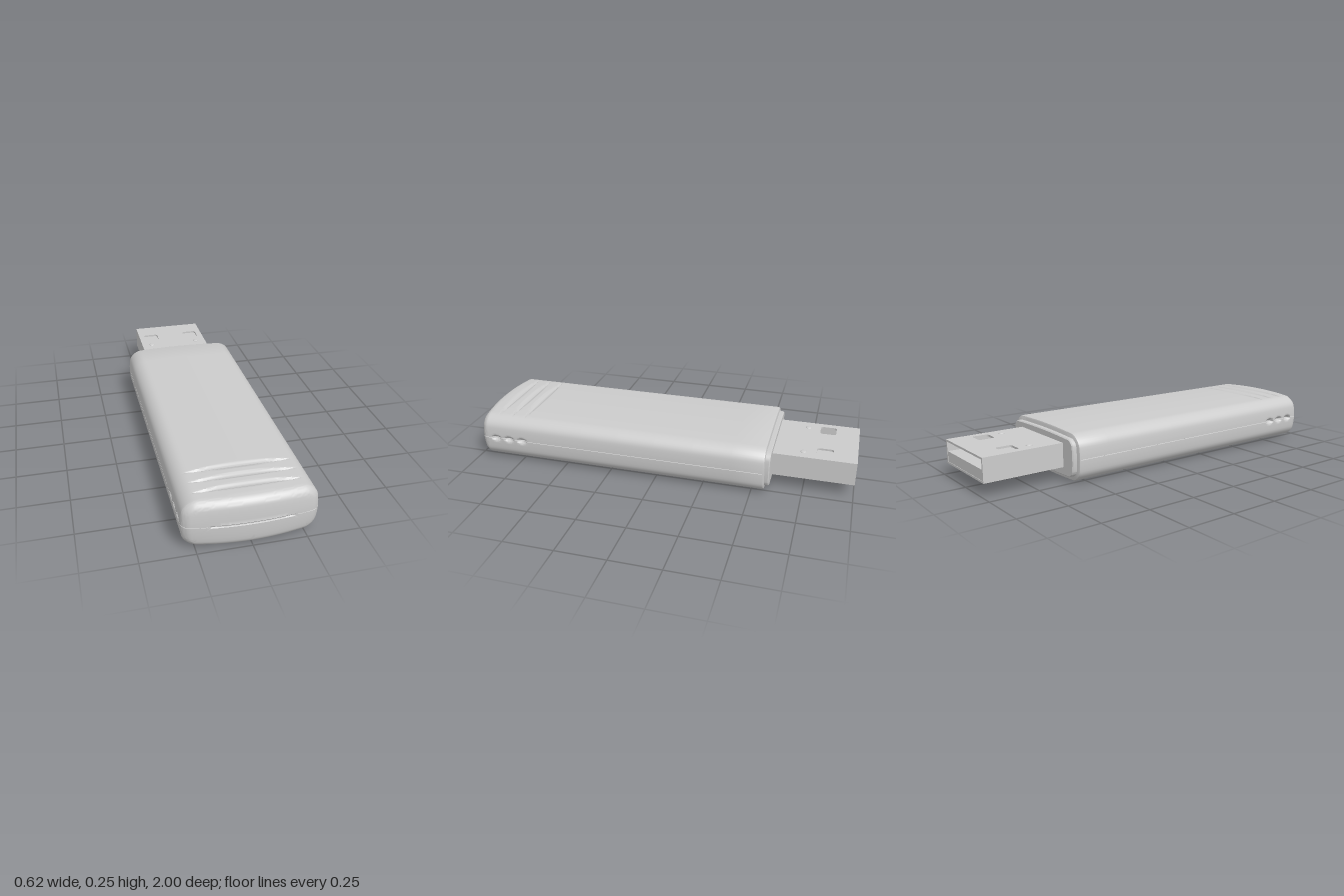
import * as THREE from 'three';
import { toCreasedNormals } from 'three/addons/utils/BufferGeometryUtils.js';

const HW = 0.31, HH = 0.124, CY = 0.124, R = 0.06;
const material = new THREE.MeshStandardMaterial({ color: 0xcccccc, side: THREE.DoubleSide });
const RIBS = [0.735, 0.81, 0.885];

function add(parent, name, geometry, x = 0, y = 0, z = 0) {
  const mesh = new THREE.Mesh(geometry, material);
  mesh.name = name;
  mesh.position.set(x, y, z);
  parent.add(mesh);
  return mesh;
}

// Rounded-rectangle loop, shrunk by inset e; every loop has the same point count
function section(e) {
  const w = HW - e, h = Math.max(HH - e, 0), r = Math.min(Math.max(R - e, 0.004), h), q = [];
  for (const s of [0, 0.025, 0.06, 0.12, 0.19, 0.26, 0.35, 0.5, 0.75, 1]) q.push([w, (h - r) * s]);
  for (let i = 1; i <= 8; i++) {
    const a = i / 8 * Math.PI / 2;
    q.push([w - r + r * Math.cos(a), h - r + r * Math.sin(a)]);
  }
  for (let i = 1; i <= 22; i++) q.push([(w - r) * (1 - i / 22), h]);
  const back = q.slice(0, -1).reverse();
  return [
    ...q,
    ...back.map(([x, y]) => [-x, y]),
    ...q.slice(1).map(([x, y]) => [-x, -y]),
    ...back.slice(0, -1).map(([x, y]) => [x, -y]),
  ];
}

// Smooth hollow, 1 in the middle and 0 at the rim
const hollow = d => (d < 1 ? (1 - d * d) ** 1.5 : 0);

// Pillow bulge, bowed nose, grip grooves, side dimples and parting seam
function shape(x, y, z, e, detailed) {
  const u = x / HW, v = y / HH;
  let px = x * (1 - 0.05 * v * v), py = y * (1 - 0.09 * u * u), pz = z;
  if (detailed) {
    pz -= THREE.MathUtils.smoothstep(z, 0.9, 1) * (0.03 * u * u + 0.012 * v * v);
    if (e < 0.02) {
      for (const rib of RIBS) {
        const halfWidth = 0.022 * (1 - (x / 0.265) ** 2);
        if (halfWidth > 0 && Math.abs(y) > 0.1)
          py -= Math.sign(y) * 0.009 * Math.min(1, halfWidth / 0.008) * hollow(Math.abs(z - rib) / halfWidth);
        if (Math.abs(u) > 0.9)
          px -= Math.sign(x) * 0.016 * hollow(Math.hypot((z - rib) / 0.034, y / 0.02));
      }
    }
    if (Math.abs(y) < 0.0005 && z > -0.56) {
      if (Math.abs(u) > 0.5) px -= Math.sign(x) * 0.004;
      if (e > 0.02) pz -= 0.004;
    }
  }
  return [px, py + CY, pz];
}

// Skin the loops given as [z, inset], from back to front
function loft(rows, detailed) {
  const pos = [], idx = [];
  let n = 0;
  rows.forEach(([z, e]) => {
    const loop = section(e);
    n = loop.length;
    loop.forEach(([x, y]) => pos.push(...shape(x, y, z, e, detailed)));
  });
  for (let i = 0; i < rows.length - 1; i++)
    for (let j = 0; j < n; j++) {
      const a = i * n + j, b = i * n + (j + 1) % n;
      idx.push(a, b, b + n, a, b + n, a + n);
    }
  const g = new THREE.BufferGeometry();
  g.setAttribute('position', new THREE.Float32BufferAttribute(pos, 3));
  g.setIndex(idx);
  return toCreasedNormals(g, 0.6);
}

function bodyRows() {
  const rows = [[-0.565, HH], [-0.565, 0.01], [-0.562, 0.003], [-0.555, 0]];
  for (let z = -0.4; z < 0.65; z += 0.2) rows.push([z, 0]);
  for (let i = 0; i <= 52; i++) rows.push([0.68 + i * 0.005, 0]);
  for (let i = 0; i <= 8; i++) {
    const a = i / 8 * Math.PI / 2;
    rows.push([0.96 + 0.04 * Math.sin(a), 0.04 * (1 - Math.cos(a))]);
  }
  for (const e of [0.06, 0.08, 0.1, 0.118, HH]) rows.push([1, e]);
  return rows;
}

// Thin plate with two rounded-square windows
function windowPlate() {
  const s = new THREE.Shape([[-0.2, -1], [0.2, -1], [0.2, -0.57], [-0.2, -0.57]].map(p => new THREE.Vector2(...p)));
  for (const cx of [-0.125, 0.125]) {
    const hole = new THREE.Path(), k = 0.028, r = 0.013;
    [[k, k], [-k, k], [-k, -k], [k, -k]].forEach(([x, z], i) =>
      hole.absarc(cx + x, -0.84 + z, r, i * Math.PI / 2, (i + 1) * Math.PI / 2));
    hole.closePath();
    s.holes.push(hole);
  }
  return new THREE.ExtrudeGeometry(s, { depth: 0.01, bevelEnabled: false, curveSegments: 6 }).rotateX(Math.PI / 2);
}

export function createModel() {
  const model = new THREE.Group();
  model.name = 'memoryStick';

  add(model, 'body', loft(bodyRows(), true));
  add(model, 'collar', loft([[-0.588, HH], [-0.588, 0.03], [-0.583, 0.025], [-0.55, 0.025]], false));

  // Plug: hollow metal sleeve with a contact tongue in its lower half
  const plug = new THREE.Group();
  plug.name = 'plug';
  model.add(plug);
  add(plug, 'sleeveTop', windowPlate(), 0, 0.19, 0);
  add(plug, 'sleeveBottom', windowPlate(), 0, 0.08, 0);
  for (const s of [-1, 1]) {
    add(plug, 'sleeveSide', new THREE.BoxGeometry(0.01, 0.1, 0.43), s * 0.195, 0.13, -0.785);
    for (const y of [0.07, 0.19])
      add(plug, 'sleeveDimple', new THREE.SphereGeometry(0.016, 16, 10).scale(1, 0.3, 1), s * 0.14, y, -0.735);
  }
  add(plug, 'contactTongue', new THREE.BoxGeometry(0.38, 0.052, 0.427), 0, 0.106, -0.7845);

  return model;
}
